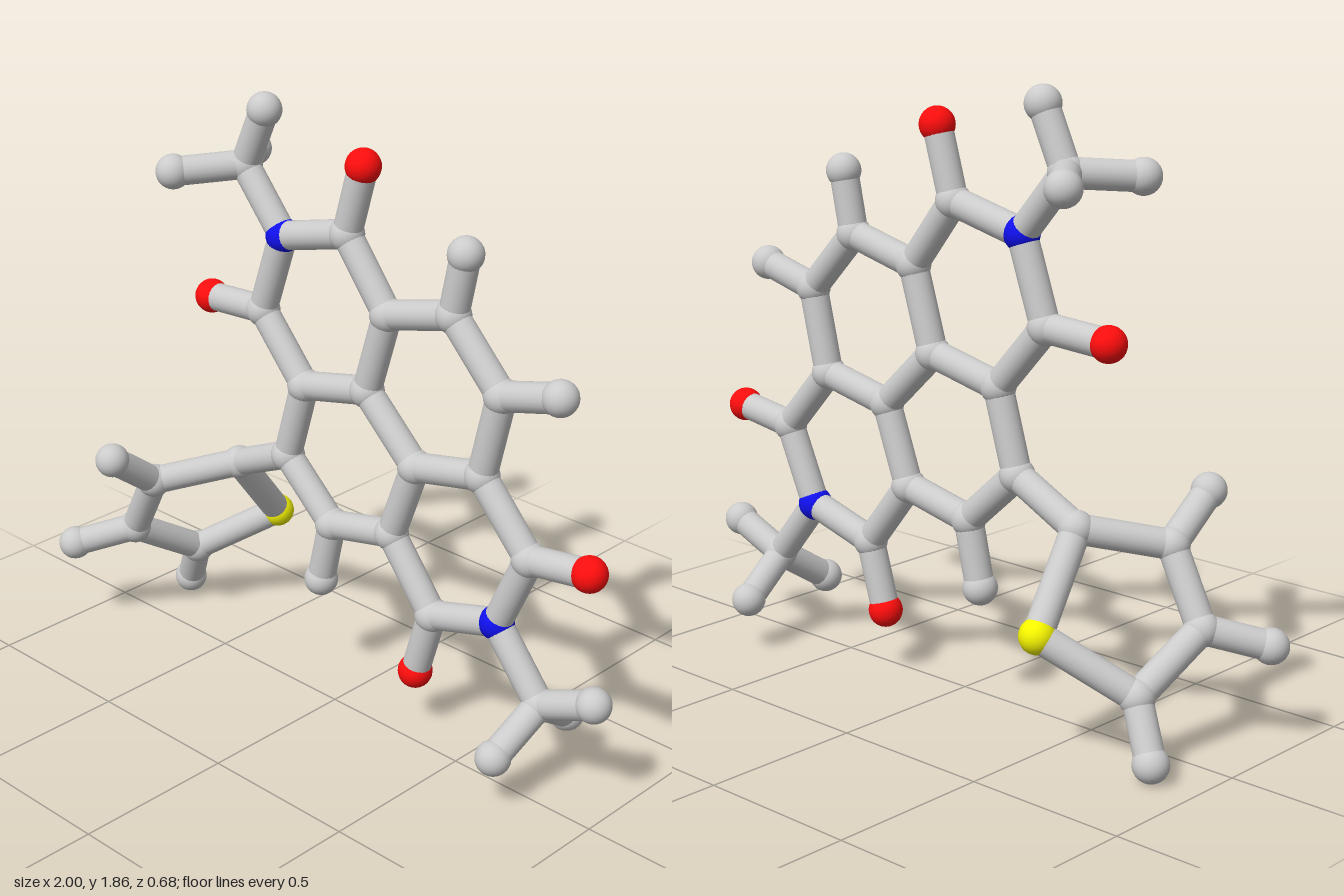
import * as THREE from 'three';

const ATOM_R = 0.053, BOND_R = 0.044;
const material = (color) => new THREE.MeshStandardMaterial({ color });
const grey = material(0xcccccc), red = material(0xff0d0d), blue = material(0x1010ee), yellow = material(0xf5f500);
const ball = new THREE.SphereGeometry(ATOM_R, 24, 16);
const rod = new THREE.CylinderGeometry(BOND_R, BOND_R, 1, 20, 1, true);
const UP = new THREE.Vector3(0, 1, 0);

// Point in the slightly tilted plane of the fused rings
const flat = (x, y) => new THREE.Vector3(x, y, -0.056 - 0.02 * y);
const point = (x, y, z) => new THREE.Vector3(x, y, z);

function addAtom(group, name, position, mat = grey) {
  const mesh = new THREE.Mesh(ball, mat);
  mesh.name = name;
  mesh.position.copy(position);
  group.add(mesh);
}

function addBond(group, a, b) {
  const mesh = new THREE.Mesh(rod, grey);
  const dir = b.clone().sub(a);
  mesh.name = 'bond';
  mesh.position.copy(a).add(b).multiplyScalar(0.5);
  mesh.scale.y = dir.length();
  mesh.quaternion.setFromUnitVectors(UP, dir.normalize());
  group.add(mesh);
}

function addBranch(group, name, from, to, mat) {
  addBond(group, from, to);
  addAtom(group, name, to, mat);
}

function part(parent, name) {
  const group = new THREE.Group();
  group.name = name;
  parent.add(group);
  return group;
}

export function createModel() {
  const model = new THREE.Group();
  model.name = 'molecule';

  // Four fused six-sided rings
  const core = part(model, 'fusedRings');
  const c = {
    n1: flat(-0.295, 1.44), c2: flat(-0.035, 1.506), c3: flat(0.13, 1.303), c4: flat(0.377, 1.367),
    c5: flat(0.563, 1.18), c6: flat(0.505, 0.919), c7: flat(0.254, 0.865), c8: flat(0.056, 1.047),
    c9: flat(-0.2, 0.988), c10: flat(-0.38, 1.185), c11: flat(-0.27, 0.737), c12: flat(-0.077, 0.566),
    c13: flat(0.168, 0.62), c14: flat(0.339, 0.411), n15: flat(0.585, 0.481), c16: flat(0.69, 0.722),
  };
  for (const [key, p] of Object.entries(c)) {
    const nitrogen = key[0] === 'n';
    addAtom(core, nitrogen ? 'nitrogen' : 'carbon', p, nitrogen ? blue : grey);
  }
  const chains = [
    'n1 c2 c3 c4 c5 c6 c7 c8 c9 c10 n1', 'c3 c8',
    'c9 c11 c12 c13 c7', 'c13 c14 n15 c16 c6',
  ];
  for (const chain of chains) {
    const keys = chain.split(' ');
    for (let i = 1; i < keys.length; i++) addBond(core, c[keys[i - 1]], c[keys[i]]);
  }

  // Oxygen and hydrogen tips around the rings
  const tips = part(model, 'ringTips');
  addBranch(tips, 'oxygen', c.c2, flat(0.024, 1.72), red);
  addBranch(tips, 'oxygen', c.c10, flat(-0.606, 1.17), red);
  addBranch(tips, 'oxygen', c.c14, flat(0.28, 0.198), red);
  addBranch(tips, 'oxygen', c.c16, flat(0.9, 0.753), red);
  addBranch(tips, 'hydrogen', c.c4, flat(0.414, 1.554));
  addBranch(tips, 'hydrogen', c.c5, flat(0.765, 1.234));
  addBranch(tips, 'hydrogen', c.c12, flat(-0.12, 0.363));

  // Methyl groups: one hydrogen in plane, a pair in front and behind
  const methyl = (name, root, center, tip, pair) => {
    const group = part(model, name);
    addBranch(group, 'carbon', root, center);
    addBranch(group, 'hydrogen', center, tip);
    for (const s of [-1, 1]) {
      addBranch(group, 'hydrogen', center, pair.clone().add(point(0, 0, s * 0.168)));
    }
  };
  methyl('upperMethyl', c.n1, flat(-0.457, 1.624), flat(-0.375, 1.806), flat(-0.59, 1.61));
  methyl('lowerMethyl', c.n15, flat(0.755, 0.28), flat(0.945, 0.358), flat(0.73, 0.168));

  // Five-sided ring with sulfur, twisted out of the plane
  const side = part(model, 'sideRing');
  const ring = [
    point(-0.505, 0.63, -0.085), point(-0.685, 0.575, 0.12), point(-0.81, 0.36, 0.1),
    point(-0.77, 0.215, -0.135), point(-0.54, 0.375, -0.288),
  ];
  ring.forEach((p, i) => {
    addAtom(side, i === 4 ? 'sulfur' : 'carbon', p, i === 4 ? yellow : grey);
    addBond(side, p, ring[(i + 1) % 5]);
  });
  addBond(side, c.c11, ring[0]);
  addBranch(side, 'hydrogen', ring[1], point(-0.688, 0.7, 0.284));
  addBranch(side, 'hydrogen', ring[2], point(-0.947, 0.305, 0.243));
  addBranch(side, 'hydrogen', ring[3], point(-0.857, 0.055, -0.178));

  return model;
}
